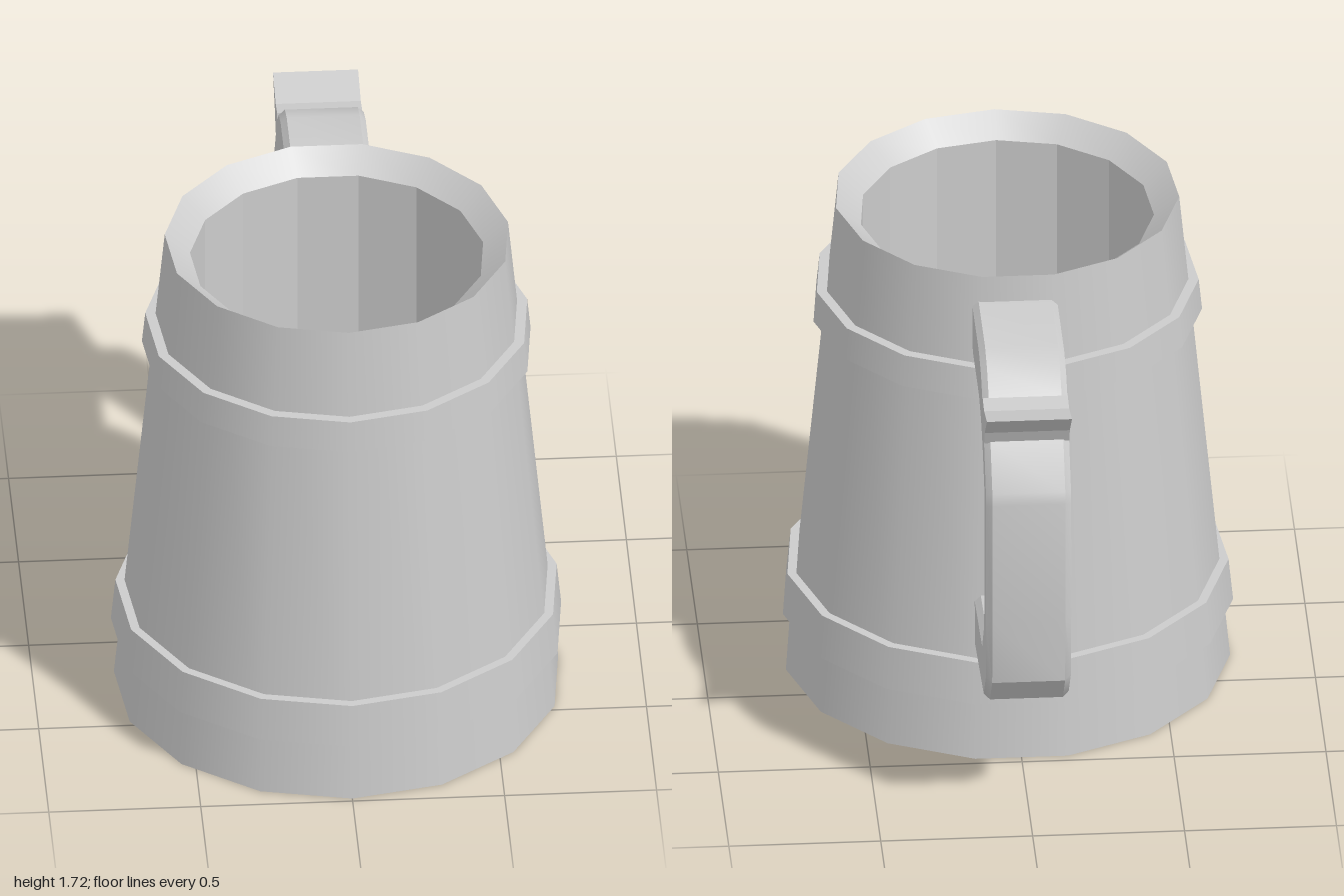
import * as THREE from 'three';
import { toCreasedNormals } from 'three/addons/utils/BufferGeometryUtils.js';

const SIDES = 15, CUP_Z = 0.25;
const HANDLE_X = 0.01, HALF_WIDTH = 0.14, CHAMFER = 0.02;
const smooth = new THREE.MeshStandardMaterial({ color: 0xcccccc });
const faceted = new THREE.MeshStandardMaterial({ color: 0xcccccc, flatShading: true });

// Turns a profile of [radius, y] points; each straight run is its own mesh so edges stay sharp
function turned(name, profile, material) {
  const group = new THREE.Group();
  group.name = name;
  for (let i = 0; i < profile.length - 1; i++) {
    const points = [profile[i], profile[i + 1]].map(([r, y]) => new THREE.Vector2(r, y));
    const mesh = new THREE.Mesh(new THREE.LatheGeometry(points, SIDES), material);
    mesh.name = name + 'Surface';
    group.add(mesh);
  }
  group.position.z = CUP_Z;
  return group;
}

// Lofts a chamfered rectangle through [outerZ, outerY, innerZ, innerY] stations
function handleGeometry(stations) {
  const positions = [], index = [];
  const w = HALF_WIDTH, c = CHAMFER;
  for (const [oz, oy, iz, iy] of stations) {
    const t = c / Math.hypot(oz - iz, oy - iy);
    const ring = [[-w + c, 1], [w - c, 1], [w, 1 - t], [w, t], [w - c, 0], [-w + c, 0], [-w, t], [-w, 1 - t]];
    for (const [x, s] of ring) positions.push(x, iy + (oy - iy) * s, iz + (oz - iz) * s);
  }
  for (let j = 0; j < stations.length - 1; j++) {
    for (let i = 0; i < 8; i++) {
      const a = j * 8 + i, b = j * 8 + (i + 1) % 8;
      index.push(a, b, a + 8, b, b + 8, a + 8);
    }
  }
  const geometry = new THREE.BufferGeometry();
  geometry.setAttribute('position', new THREE.Float32BufferAttribute(positions, 3));
  geometry.setIndex(index);
  return toCreasedNormals(geometry, 0.6);
}

export function createModel() {
  const model = new THREE.Group();
  model.name = 'tankard';

  // Tapered body with closed base, then sloping rim, inner wall and floor
  model.add(turned('body', [[0, 0], [0.735, 0], [0.568, 1.72]], smooth));
  model.add(turned('rim', [[0.568, 1.72], [0.485, 1.65]], smooth));
  model.add(turned('interior', [[0.485, 1.65], [0.485, 0.1], [0, 0.1]], faceted));

  // Raised hoops
  model.add(turned('lowerBand', [[0.69, 0.21], [0.745, 0.21], [0.73, 0.36], [0.68, 0.36]], smooth));
  model.add(turned('upperBand', [[0.59, 1.3], [0.643, 1.3], [0.632, 1.41], [0.58, 1.41]], smooth));

  // Handle, from upper joint round to lower joint
  const handle = new THREE.Mesh(handleGeometry([
    [-0.29, 1.63, -0.29, 1.43],
    [-0.615, 1.63, -0.615, 1.43],
    [-0.71, 1.6, -0.705, 1.395],
    [-0.79, 1.535, -0.74, 1.37],
    [-0.87, 1.42, -0.79, 1.32],
    [-0.965, 1.27, -0.865, 1.21],
    [-0.975, 1.23, -0.87, 1.18],
    [-0.975, 0.79, -0.865, 0.85],
    [-0.955, 0.555, -0.84, 0.72],
    [-0.85, 0.435, -0.755, 0.605],
    [-0.4, 0.387, -0.39, 0.58],
  ]), smooth);
  handle.name = 'handle';
  handle.position.x = HANDLE_X;
  model.add(handle);

  // Pointed thumb rest on the shoulder of the handle
  const outline = [[0.78, 1.45], [0.84, 1.42], [0.87, 1.41], [0.89, 1.46], [0.995, 1.56], [0.86, 1.525], [0.79, 1.535]];
  const shape = new THREE.Shape(outline.map(([u, y]) => new THREE.Vector2(u, y)));
  const restGeometry = new THREE.ExtrudeGeometry(shape, { depth: 2 * HALF_WIDTH, bevelEnabled: false });
  restGeometry.translate(0, 0, -HALF_WIDTH).rotateY(Math.PI / 2);
  const rest = new THREE.Mesh(restGeometry, smooth);
  rest.name = 'thumbRest';
  rest.position.x = HANDLE_X;
  model.add(rest);

  return model;
}
